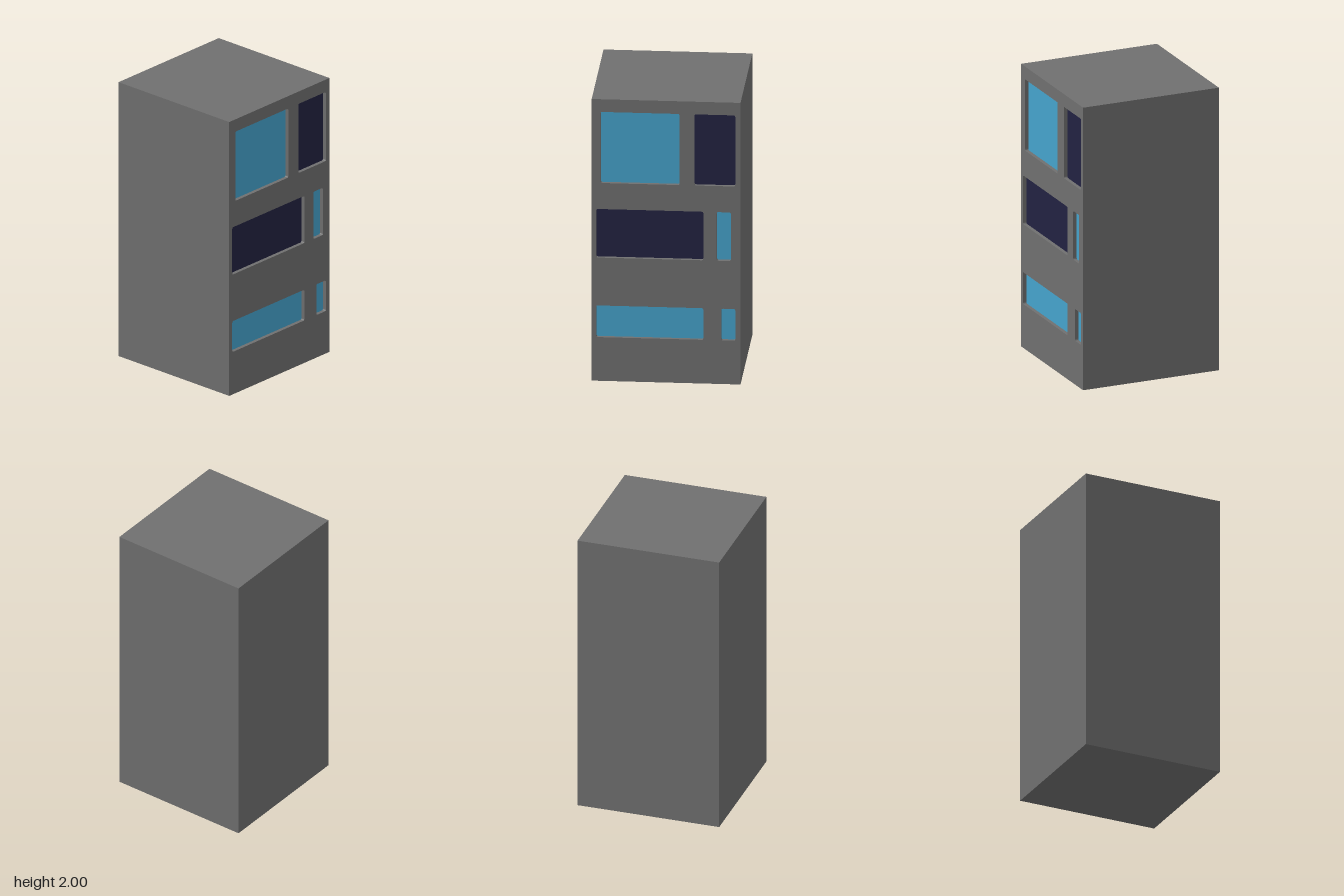
import * as THREE from 'three';

const DEPTH = 0.03; // how far the windows are sunk into the side wall
const PANE = 0.004;

// Windows on the +x wall: u runs along -z, v is height
const WINDOWS = [
  { name: 'upperLargeWindow', u: [-0.44, 0.09], v: [1.405, 1.91], lit: true },
  { name: 'upperDarkWindow', u: [0.19, 0.465], v: [1.405, 1.91], lit: false },
  { name: 'middleDarkWindow', u: [-0.47, 0.25], v: [0.875, 1.22], lit: false },
  { name: 'middleNarrowWindow', u: [0.34, 0.435], v: [0.875, 1.22], lit: true },
  { name: 'lowerWideWindow', u: [-0.47, 0.25], v: [0.31, 0.535], lit: true },
  { name: 'lowerNarrowWindow', u: [0.37, 0.465], v: [0.31, 0.535], lit: true },
];

// Rectangle with slightly rounded corners
function roundedRect(target, [x0, x1], [y0, y1], r) {
  target.moveTo(x0 + r, y0);
  target.lineTo(x1 - r, y0);
  target.quadraticCurveTo(x1, y0, x1, y0 + r);
  target.lineTo(x1, y1 - r);
  target.quadraticCurveTo(x1, y1, x1 - r, y1);
  target.lineTo(x0 + r, y1);
  target.quadraticCurveTo(x0, y1, x0, y1 - r);
  target.lineTo(x0, y0 + r);
  target.quadraticCurveTo(x0, y0, x0 + r, y0);
  return target;
}

// Extrude a (u, v) shape towards +x, starting at the given x
function extrudeSide(shape, depth, x) {
  const geo = new THREE.ExtrudeGeometry(shape, { depth, bevelEnabled: false, curveSegments: 4 });
  return geo.rotateY(Math.PI / 2).translate(x, 0, 0);
}

export function createModel() {
  const wall = new THREE.MeshStandardMaterial({ name: 'wall grey', color: 0x6f6f6f });
  const blue = new THREE.MeshStandardMaterial({ name: 'glass blue', color: 0x45a3cc });
  const navy = new THREE.MeshStandardMaterial({ name: 'glass navy', color: 0x222241 });

  const group = new THREE.Group();
  group.name = 'towerBlock';
  const add = (name, geo, mat) => {
    const mesh = new THREE.Mesh(geo, mat);
    mesh.name = name;
    group.add(mesh);
  };

  // Solid core behind the windowed wall
  const floorX = 0.5 - DEPTH;
  add('core', new THREE.BoxGeometry(1 - DEPTH, 2, 1).translate(-DEPTH / 2, 1, 0), wall);

  // Side wall with window openings
  const side = new THREE.Shape();
  side.moveTo(-0.5, 0).lineTo(0.5, 0).lineTo(0.5, 2).lineTo(-0.5, 2).closePath();
  for (const w of WINDOWS) side.holes.push(roundedRect(new THREE.Path(), w.u, w.v, 0.012));
  add('windowWall', extrudeSide(side, DEPTH, floorX), wall);

  // Thin panes at the bottom of each recess
  for (const w of WINDOWS) {
    const shape = roundedRect(new THREE.Shape(), w.u, w.v, 0.012);
    add(w.name, extrudeSide(shape, PANE, floorX), w.lit ? blue : navy);
  }
  return group;
}
